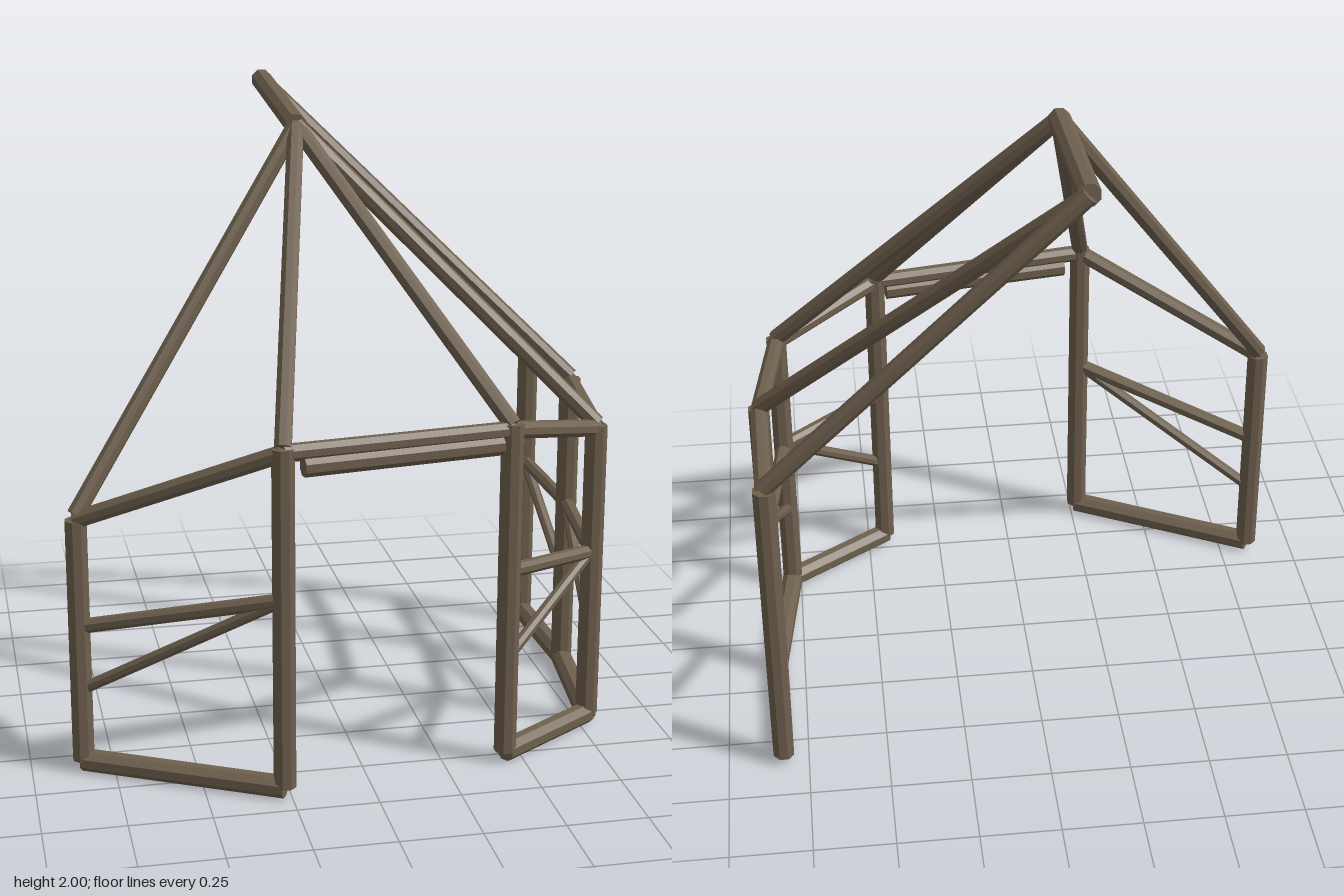
import * as THREE from 'three';

export function createModel() {
  const model = new THREE.Group();
  model.name = 'timberFrame';
  const wood = new THREE.MeshStandardMaterial({ color: 0x6e604e });
  wood.name = 'weatheredWood';

  // Eight-sided timber between two points, with flat faces kept level
  function beam(name, a, b, width) {
    const from = new THREE.Vector3(...a), to = new THREE.Vector3(...b);
    const dir = to.clone().sub(from);
    const r = width / 2 / Math.cos(Math.PI / 8);
    const geo = new THREE.CylinderGeometry(r, r, dir.length(), 8, 1).rotateY(Math.PI / 8).toNonIndexed();
    geo.computeVertexNormals();
    dir.normalize();
    const side = new THREE.Vector3(0, 1, 0).cross(dir);
    if (side.length() < 1e-4) side.set(1, 0, 0);
    side.normalize();
    const third = new THREE.Vector3().crossVectors(side, dir);
    const mesh = new THREE.Mesh(geo, wood);
    mesh.quaternion.setFromRotationMatrix(new THREE.Matrix4().makeBasis(side, dir, third));
    mesh.position.copy(from).add(to).multiplyScalar(0.5);
    mesh.name = name;
    model.add(mesh);
  }

  // Post feet and heights: x, z, top of post, height of the top plate, peak it leans to
  const front = [-0.1, 1.905, -0.04], back = [-0.1, 1.966, -0.665];
  const posts = [
    { x: -0.842, z: 0.35, top: 0.81, plate: 0.81, peak: front },
    { x: -0.27, z: 0.657, top: 1.09, plate: 1.075, peak: front },
    { x: 0.442, z: 0.545, top: 1.09, plate: 1.07, peak: front },
    { x: 0.778, z: 0.32, top: 1.0, plate: 0.99, peak: front },
    { x: 0.837, z: -0.137, top: 1.025, plate: 1.015, peak: back },
    { x: 0.828, z: -0.59, top: 1.03, plate: 1.022, peak: back },
  ];
  const at = (p, y) => [p.x, y, p.z];

  // Posts and rafters
  for (const p of posts) {
    beam('post', at(p, 0.035), at(p, p.top), 0.064);
    beam('rafter', at(p, p.plate + 0.015), p.peak, 0.05);
  }
  beam('ridge', front, back, 0.064);

  // Top plates round the wall
  for (let i = 0; i < 5; i++) {
    beam('topPlate', at(posts[i], posts[i].plate), at(posts[i + 1], posts[i + 1].plate), 0.05);
  }

  // Wall panels: rail heights at both ends, then brace heights at both ends
  const panels = [
    [0, 0.47, 0.627, 0.265, 0.627],
    [2, 0.625, 0.585, 0.34, 0.59],
    [3, 0.58, 0.593, 0.325, 0.593],
    [4, 0.588, 0.597, 0.325, 0.597],
  ];
  for (const [i, railA, railB, braceA, braceB] of panels) {
    const a = posts[i], b = posts[i + 1];
    beam('sill', at(a, 0.032), at(b, 0.032), 0.064);
    beam('midRail', at(a, railA), at(b, railB), 0.042);
    beam('brace', at(a, braceA), at(b, braceB), 0.034);
  }

  // Lintel under the plate over the doorway
  beam('doorLintel', [-0.21, 1.03, 0.65], [0.405, 1.03, 0.556], 0.06);
  return model;
}
